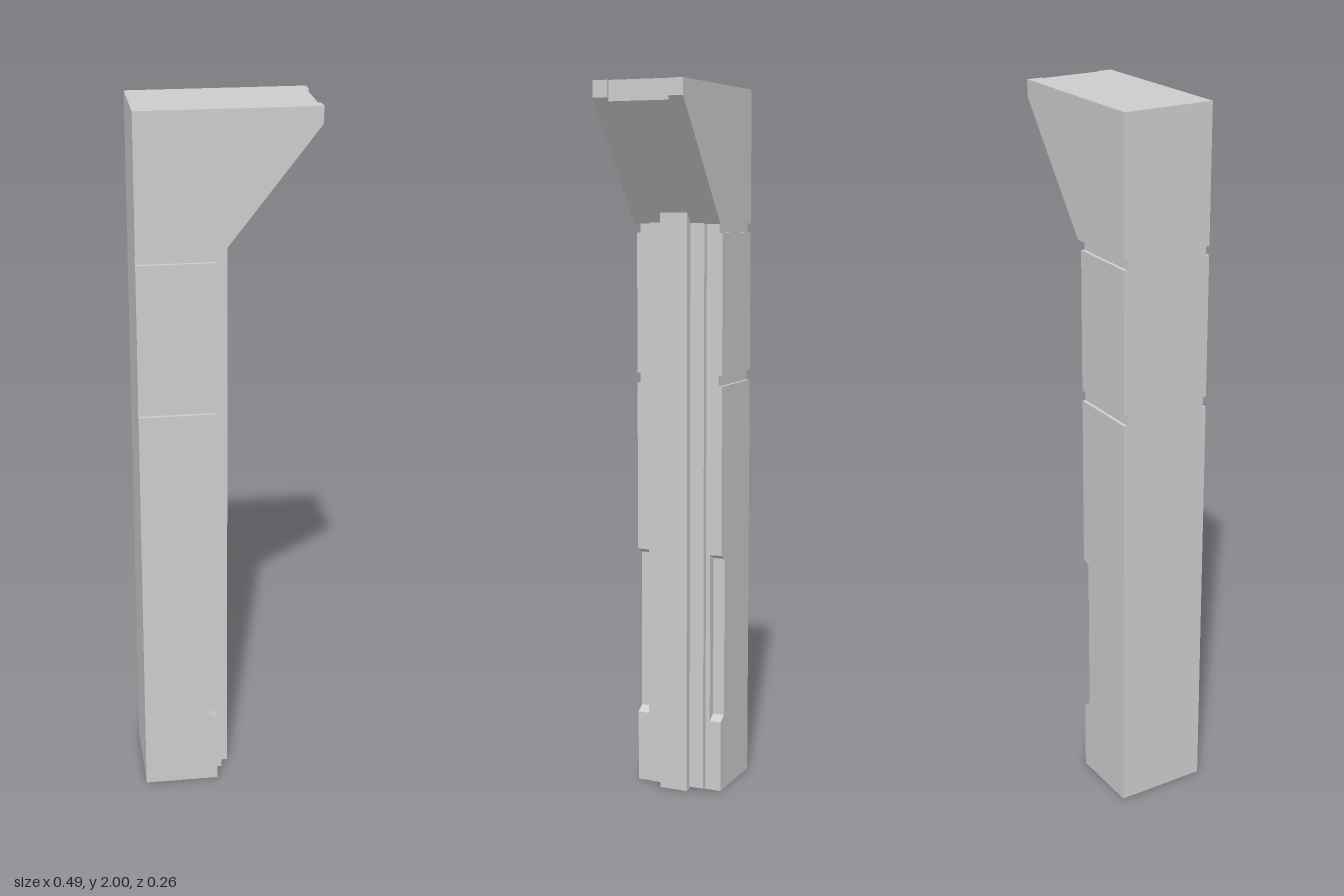
import * as THREE from 'three';

const material = new THREE.MeshStandardMaterial({ color: 0xcccccc, flatShading: true });

// Side profile in x/y, extruded from z0 to z1
function slab(name, points, z0, z1) {
  const shape = new THREE.Shape(points.map(([x, y]) => new THREE.Vector2(x, y)));
  const geometry = new THREE.ExtrudeGeometry(shape, { depth: z1 - z0, bevelEnabled: false });
  geometry.translate(0, 0, z0);
  const mesh = new THREE.Mesh(geometry, material);
  mesh.name = name;
  return mesh;
}

const rect = (x0, x1, y0, y1) => [[x0, y0], [x1, y0], [x1, y1], [x0, y1]];

export function createModel() {
  const group = new THREE.Group();
  group.name = 'bracketPillar';

  const back = -0.243, face = -0.03, half = 0.13;
  const grooveZ = 0.12, notchZ = 0.096, neck = 1.625;

  // Same slab on both sides of the pillar
  const pair = (name, points, z0, z1) => group.add(
    slab(name + 'Left', points, z0, z1),
    slab(name + 'Right', points, -z1, -z0),
  );

  // Shaft profile with the corner notch cut into its face
  const notched = (top) => [
    [back, 0], [face, 0], [face, 0.205], [-0.055, 0.22],
    [-0.055, 0.68], [face, 0.693], [face, top], [back, top],
  ];

  // Shaft: solid core, notched sides, and outer skins parted by grooves
  group.add(slab('shaftCore', rect(back, face, 0, neck), -notchZ, notchZ));
  pair('shaftSide', notched(neck), notchZ, grooveZ);
  pair('lowerSkin', notched(1.175), grooveZ, half);
  pair('upperSkin', rect(back, face, 1.205, 1.6), grooveZ, half);

  // Stepped ribs on the face, running up into the sloped underside
  group.add(slab('wideRib', rect(face, -0.012, 0.006, neck + 0.003), -0.083, 0.083));
  group.add(slab('narrowRib', rect(-0.012, 0.01, 0, 1.657), -0.041, 0.041));

  // Bracket head: sloped underside, with a shallow recess in its nose
  const slopeX = -0.014, tipX = 0.243, tipY = 1.955;
  const head = (nose) => {
    const y = neck + (nose - slopeX) / (tipX - slopeX) * (tipY - neck);
    return [[back, neck], [slopeX, neck], [nose, y], [nose, 2], [back, 2]];
  };
  group.add(slab('headCore', head(0.235), -0.087, 0.087));
  pair('headCheek', head(tipX), 0.087, half);

  return group;
}
